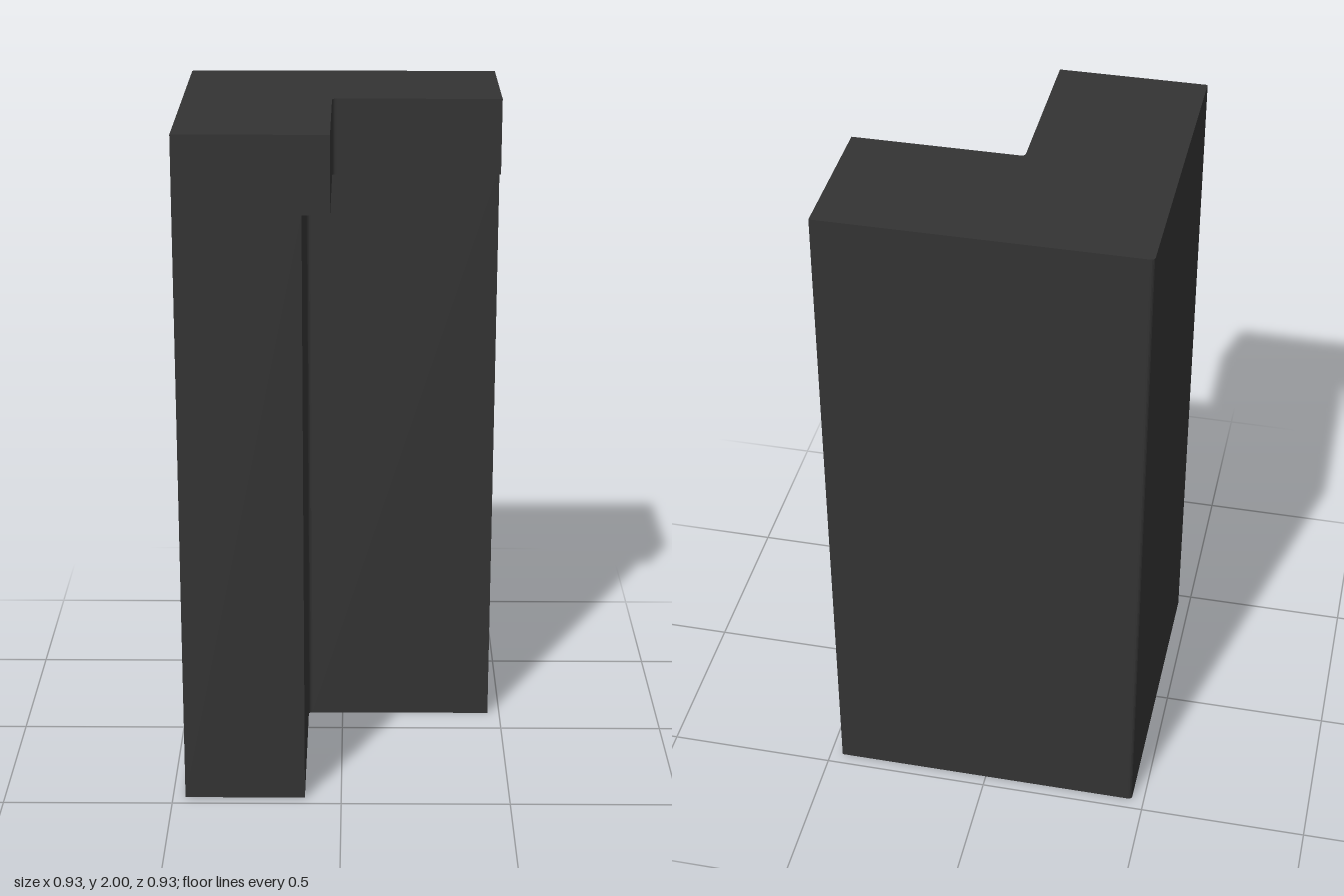
import * as THREE from 'three';

const HALF = 0.463, R = 0.012, ARC = 4;

// L-shaped plan, as (x, z); inner is where the inside faces lie
function plan(inner) {
  const corner = (edge, reverse) => {
    const pts = [];
    for (let i = 0; i <= ARC; i++) {
      const a = Math.PI * (1 + 0.5 * i / ARC);
      pts.push(new THREE.Vector2(edge + R + R * Math.cos(a), edge + R + R * Math.sin(a)));
    }
    return reverse ? pts.reverse() : pts;
  };
  return [
    ...corner(-HALF, false),
    new THREE.Vector2(HALF, -HALF),
    new THREE.Vector2(HALF, inner),
    ...corner(inner, true),
    new THREE.Vector2(inner, HALF),
    new THREE.Vector2(-HALF, HALF),
  ];
}

// Closed solid through rings of equal point count, bottom to top
function loft(rings) {
  const pos = [];
  const at = (r, i) => {
    const p = r.pts[i % r.pts.length];
    return new THREE.Vector3(p.x, r.y, p.y);
  };
  const tri = (a, b, c) => {
    if (new THREE.Triangle(a, b, c).getArea() > 1e-9)
      for (const v of [a, b, c]) pos.push(v.x, v.y, v.z);
  };
  for (let k = 0; k < rings.length - 1; k++) {
    const lo = rings[k], hi = rings[k + 1];
    for (let i = 0; i < lo.pts.length; i++) {
      tri(at(lo, i), at(hi, i), at(lo, i + 1));
      tri(at(lo, i + 1), at(hi, i), at(hi, i + 1));
    }
  }
  const first = rings[0], last = rings[rings.length - 1];
  for (const [a, b, c] of THREE.ShapeUtils.triangulateShape(first.pts, []))
    tri(at(first, a), at(first, b), at(first, c));
  for (const [a, b, c] of THREE.ShapeUtils.triangulateShape(last.pts, []))
    tri(at(last, a), at(last, c), at(last, b));
  const geo = new THREE.BufferGeometry();
  geo.setAttribute('position', new THREE.Float32BufferAttribute(pos, 3));
  geo.computeVertexNormals();
  return geo;
}

export function createModel() {
  const group = new THREE.Group();
  group.name = 'cornerColumn';
  const body = plan(-0.108), lip = plan(-0.03);

  // Corner wall with a thicker overhanging band along its top
  const wall = new THREE.Mesh(
    loft([
      { y: 0, pts: body },
      { y: 1.777, pts: body },
      { y: 1.777, pts: lip },
      { y: 2, pts: lip },
    ]),
    new THREE.MeshStandardMaterial({ color: 0x333333, flatShading: true })
  );
  wall.name = 'cornerWallWithOverhang';
  group.add(wall);
  return group;
}
